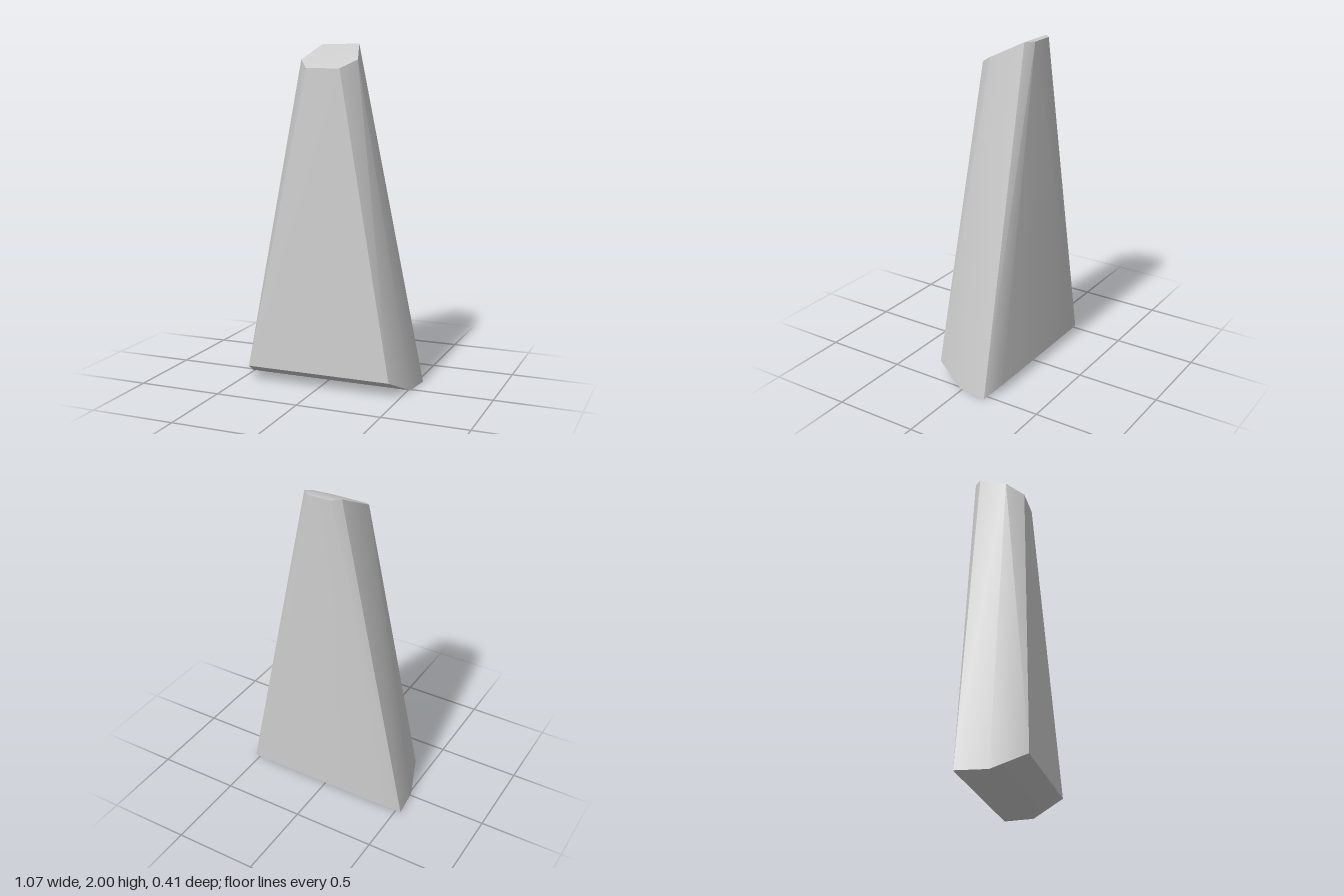
import * as THREE from 'three';
import { ConvexGeometry } from 'three/addons/geometries/ConvexGeometry.js';
import { toCreasedNormals } from 'three/addons/utils/BufferGeometryUtils.js';

// Corners of one half of each end, from front to back: [half width, height, depth]
const base = [
  [0.443, 0.09, 0.207],
  [0.512, 0, 0.015],
  [0.533, 0, -0.166],
  [0.402, 0.04, -0.207],
];
const top = [
  [0.102, 1.86, 0.113],
  [0.176, 1.909, 0.015],
  [0.115, 2, -0.166],
  [0.07, 2, -0.207],
];

export function createModel() {
  const group = new THREE.Group();
  group.name = 'taperedBlock';

  // Mirror every corner across x = 0
  const points = [];
  for (const [x, y, z] of [...base, ...top]) {
    for (const side of [1, -1]) points.push(new THREE.Vector3(side * x, y, z));
  }

  // Tapered, chamfered slab: gentle bends stay smooth, strong ones crisp
  const geometry = toCreasedNormals(new ConvexGeometry(points), THREE.MathUtils.degToRad(30));
  const body = new THREE.Mesh(geometry, new THREE.MeshStandardMaterial({ color: 0xcccccc }));
  body.name = 'body';
  group.add(body);
  return group;
}
